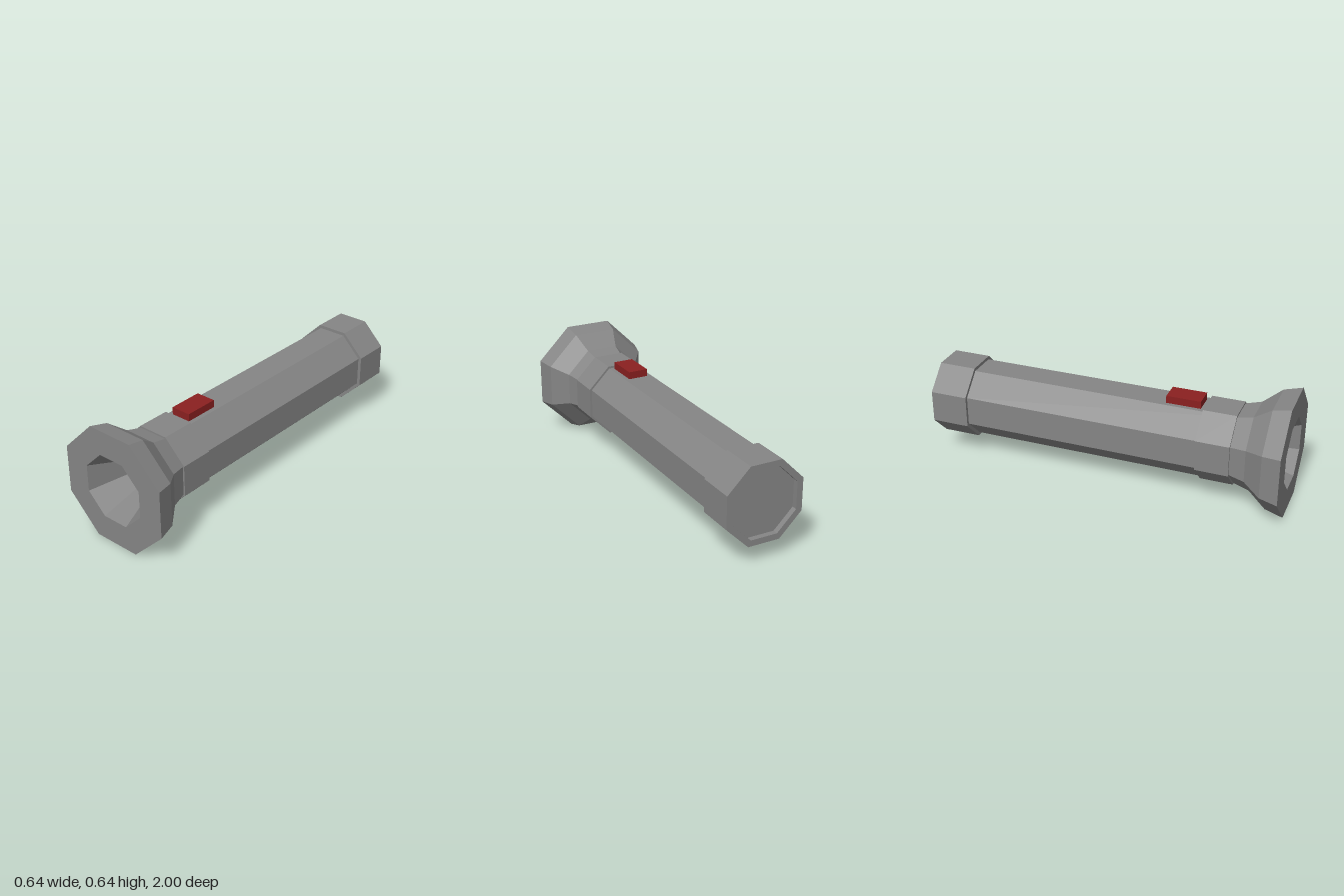
import * as THREE from 'three';

const AXIS_Y = 0.319;
const SIDES = 8;

// Octagonal solid along z from [apothem, z] points, flats facing up and sideways
function octagonal(name, profile, material) {
  const k = 1 / Math.cos(Math.PI / SIDES);
  const points = profile.map(([r, z]) => new THREE.Vector2(r * k, z));
  const geometry = new THREE.LatheGeometry(points, SIDES, Math.PI / SIDES).rotateX(Math.PI / 2);
  const mesh = new THREE.Mesh(geometry, material);
  mesh.name = name;
  mesh.position.y = AXIS_Y;
  return mesh;
}

export function createModel() {
  const grey = new THREE.MeshStandardMaterial({ name: 'grey metal', color: 0x858585, flatShading: true });
  const red = new THREE.MeshStandardMaterial({ name: 'red switch', color: 0x8a2020, flatShading: true });
  const black = new THREE.MeshStandardMaterial({ name: 'black bulb', color: 0x0d0d0d, flatShading: true });

  const model = new THREE.Group();
  model.name = 'flashlight';

  // Long handle tube
  model.add(octagonal('handle', [[0.195, -0.8], [0.195, 0.72]], grey));

  // Tail cap with a shallow recess in its end
  model.add(octagonal('tailCap', [
    [0, -0.97], [0.18, -0.97], [0.18, -1], [0.213, -1], [0.213, -0.79], [0.19, -0.79],
  ], grey));

  // Collar behind the head
  model.add(octagonal('collar', [
    [0.19, 0.53], [0.207, 0.53], [0.207, 0.713], [0.19, 0.713],
  ], grey));

  // Flared head, front rim and reflector bowl
  model.add(octagonal('head', [
    [0.197, 0.71], [0.22, 0.8], [0.295, 0.9], [0.319, 1], [0.18, 1], [0.08, 0.75],
  ], grey));

  // Dark bulb opening at the bottom of the bowl
  model.add(octagonal('bulb', [[0.08, 0.75], [0, 0.75]], black));

  // Slide switch on top of the handle
  const button = new THREE.Mesh(new THREE.BoxGeometry(0.112, 0.05, 0.19), red);
  button.name = 'switch';
  button.position.set(0, 0.53, 0.415);
  model.add(button);

  return model;
}
